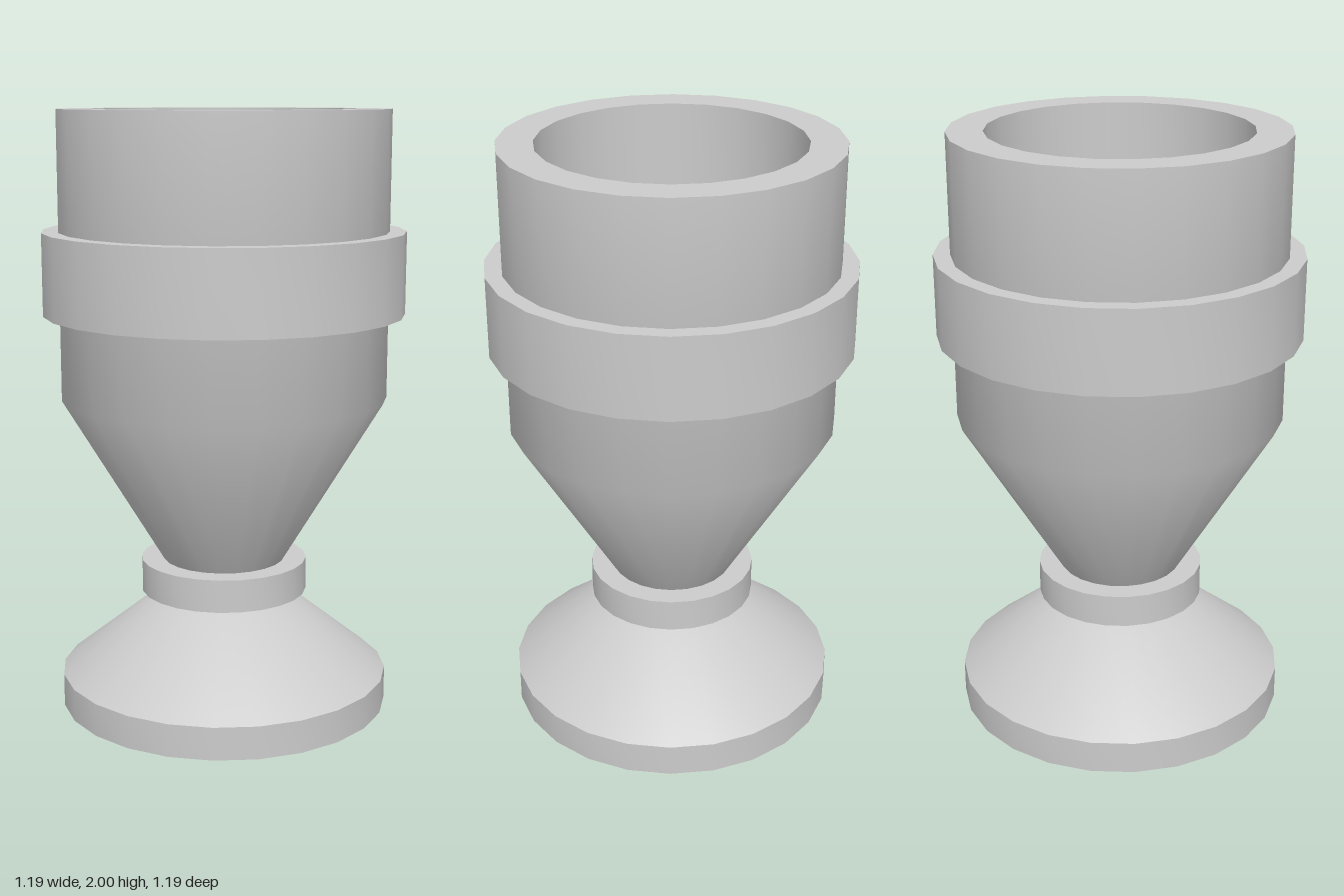
import * as THREE from 'three';
import { toCreasedNormals } from 'three/addons/utils/BufferGeometryUtils.js';

const SIDES = 24;
const material = new THREE.MeshStandardMaterial({ color: 0xcccccc });

// Turned part from [radius, height] points, listed up the outside
function turned(name, profile) {
  const points = profile.map(([r, y]) => new THREE.Vector2(r, y));
  const geometry = toCreasedNormals(new THREE.LatheGeometry(points, SIDES), THREE.MathUtils.degToRad(40));
  const mesh = new THREE.Mesh(geometry, material);
  mesh.name = name;
  return mesh;
}

export function createModel() {
  const group = new THREE.Group();
  group.name = 'goblet';

  group.add(
    // Foot: flat disc with a sloped top
    turned('foot', [[0, 0], [0.555, 0], [0.555, 0.11], [0.205, 0.39], [0, 0.39]]),
    // Narrow ring between foot and bowl
    turned('neckRing', [[0, 0.39], [0.28, 0.39], [0.28, 0.5], [0, 0.5]]),
    // Bowl: tapered below, straight above, with a hollow inside
    turned('bowl', [
      [0, 0.5], [0.205, 0.5], [0.542, 1.06], [0.542, 2],
      [0.425, 2], [0.425, 1.06], [0, 1.06],
    ]),
    // Raised band around the bowl
    turned('band', [[0.5, 1.34], [0.597, 1.34], [0.597, 1.61], [0.5, 1.61], [0.5, 1.34]]),
  );
  return group;
}
